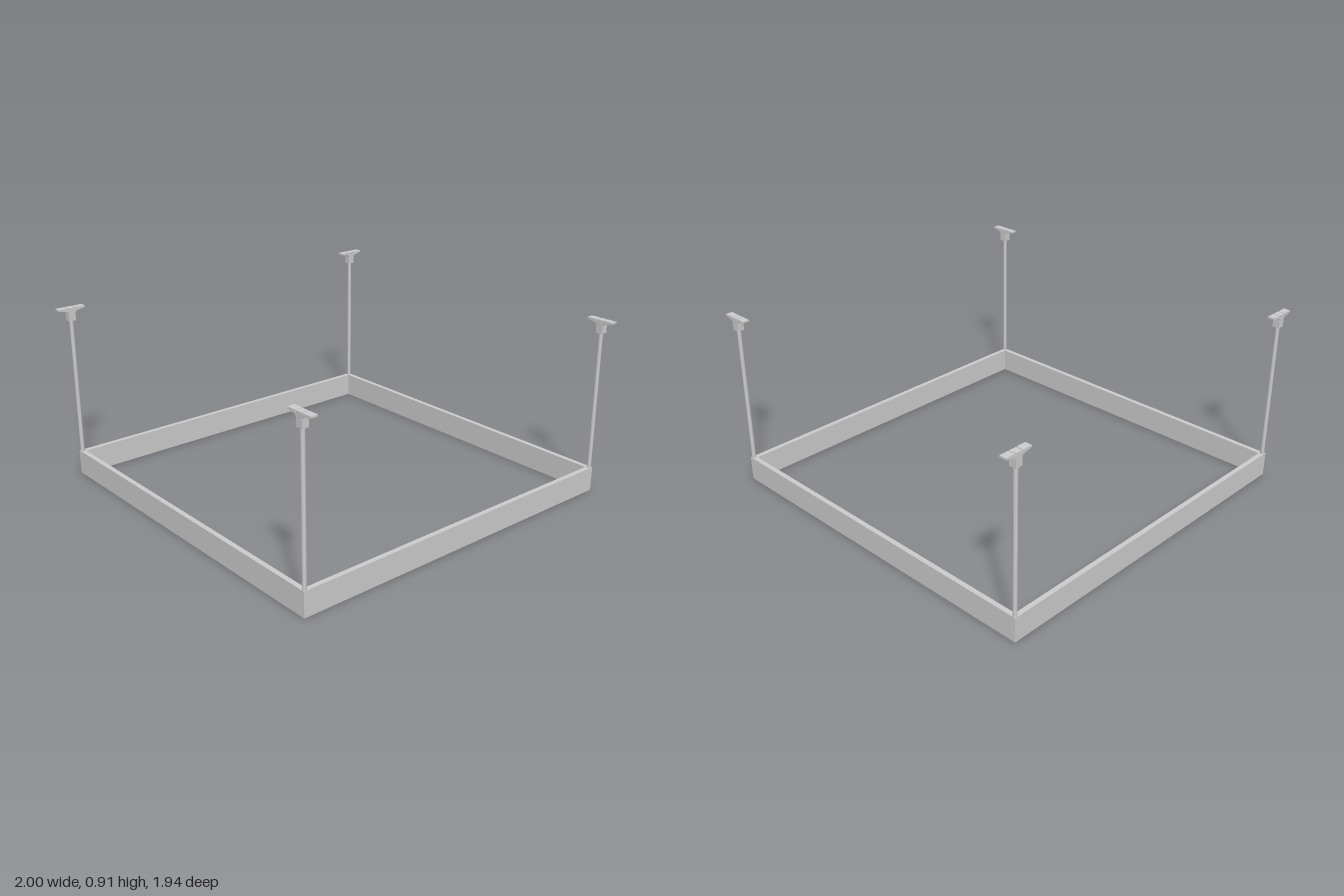
import * as THREE from 'three';

const material = new THREE.MeshStandardMaterial({ color: 0xcccccc, flatShading: true });
const rodMaterial = new THREE.MeshStandardMaterial({ color: 0xcccccc });

const FRAME = { x: 0.94, back: -0.97, front: 0.91, wall: 0.025, height: 0.128 };
const ROD_X = 0.928;

function addMesh(parent, name, geometry, mat = material) {
  const mesh = new THREE.Mesh(geometry, mat);
  mesh.name = name;
  parent.add(mesh);
  return mesh;
}

// Rectangle path in plan, shrunk inward by inset
function rectangle(PathType, inset) {
  const x = FRAME.x - inset, a = FRAME.back + inset, b = FRAME.front - inset;
  return new PathType([[-x, -b], [x, -b], [x, -a], [-x, -a]].map(p => new THREE.Vector2(...p)));
}

// Square ring lying flat
function ring(inset, bottom, height) {
  const shape = rectangle(THREE.Shape, inset);
  shape.holes.push(rectangle(THREE.Path, FRAME.wall - inset));
  const geometry = new THREE.ExtrudeGeometry(shape, { depth: height, bevelEnabled: false });
  return geometry.rotateX(-Math.PI / 2).translate(0, bottom, 0);
}

// T-shaped ceiling mount: tapering plate, square collar, two narrow top grooves
function mountGeometry() {
  const half = [
    [0.018, 0.842], [0.018, 0.885], [0.026, 0.892], [0.072, 0.902], [0.072, 0.91],
    [0.022, 0.91], [0.022, 0.904], [0.018, 0.904], [0.018, 0.91],
  ];
  const mirrored = half.map(([x, y]) => [-x, y]).reverse();
  const shape = new THREE.Shape([...half, ...mirrored].map(p => new THREE.Vector2(...p)));
  const width = 0.036;
  return new THREE.ExtrudeGeometry(shape, { depth: width, bevelEnabled: false })
    .translate(0, 0, -width / 2);
}

export function createModel() {
  const model = new THREE.Group();
  model.name = 'suspendedFrameLight';

  // Frame body with a slightly inset strip closing its underside
  addMesh(model, 'frame', ring(0, 0.004, FRAME.height - 0.004));
  addMesh(model, 'diffuserStrip', ring(0.002, 0, 0.004));

  // Four hangers; the front mounts are turned along z
  const mount = mountGeometry();
  const rodBottom = 0.12, rodTop = 0.85;
  const rod = new THREE.CylinderGeometry(0.0105, 0.0105, rodTop - rodBottom, 16)
    .translate(0, (rodTop + rodBottom) / 2, 0);
  for (const end of ['front', 'back']) {
    for (const side of [1, -1]) {
      const hanger = new THREE.Group();
      hanger.name = end + (side > 0 ? 'Left' : 'Right') + 'Hanger';
      hanger.position.set(side * ROD_X, 0, end === 'front' ? 0.898 : -0.957);
      addMesh(hanger, 'rod', rod, rodMaterial);
      addMesh(hanger, 'ceilingMount', mount).rotation.y = end === 'front' ? Math.PI / 2 : 0;
      model.add(hanger);
    }
  }
  return model;
}
